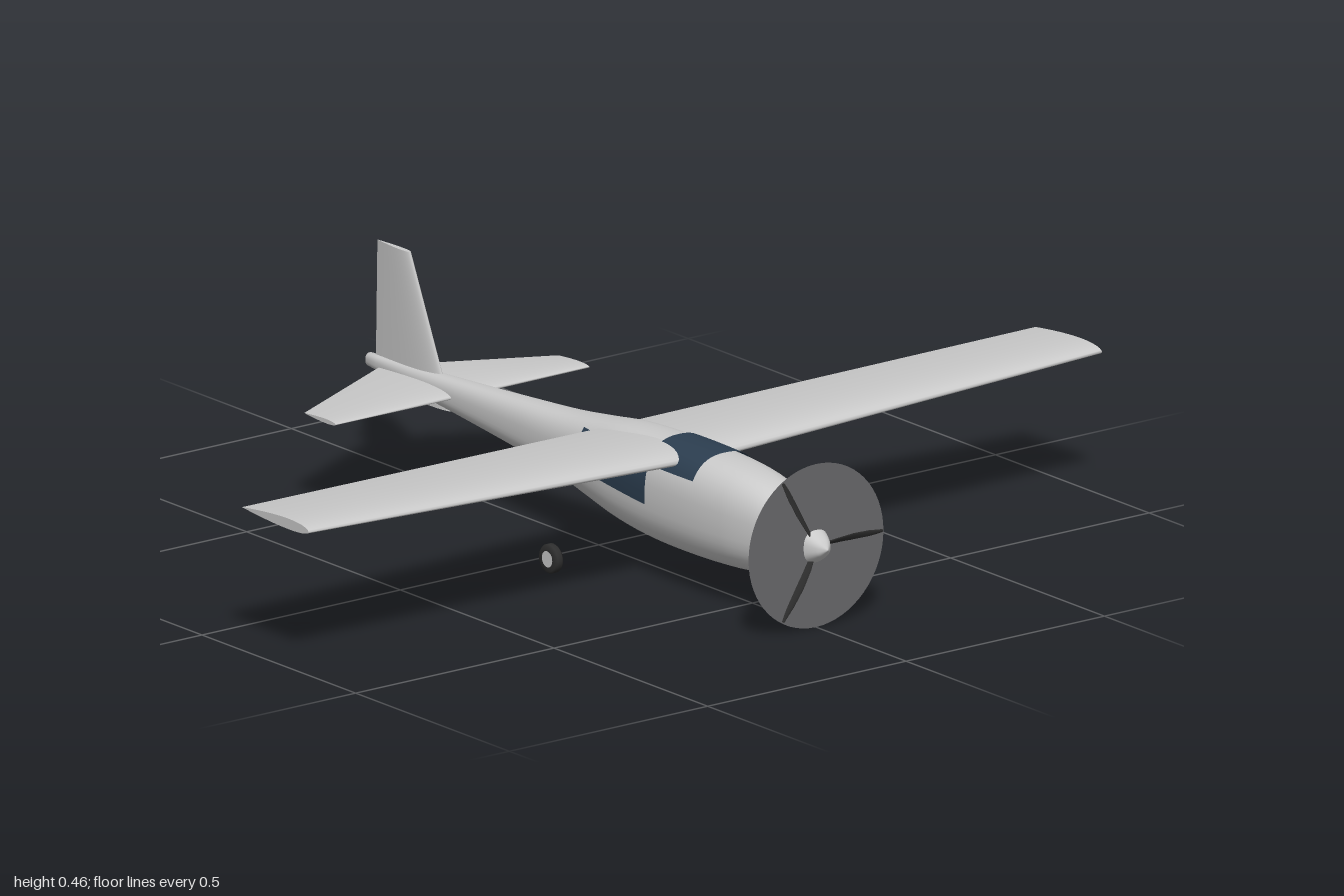
import * as THREE from 'three';
import { mergeVertices } from 'three/addons/utils/BufferGeometryUtils.js';

const mat = (name, color, double) => {
  const m = new THREE.MeshStandardMaterial({ color });
  m.name = name;
  if (double) m.side = THREE.DoubleSide;
  return m;
};

// Skin between cross-sections: each ring is a list of [x, y, z]
function loft(rings, caps = true) {
  const pos = [], idx = [], n = rings[0].length;
  rings.forEach(r => r.forEach(p => pos.push(...p)));
  for (let i = 0; i < rings.length - 1; i++) {
    for (let j = 0; j < n - 1; j++) {
      const a = i * n + j, b = a + 1, c = a + n, d = c + 1;
      idx.push(a, b, c, b, d, c);
    }
  }
  if (caps) {
    [rings[0], rings[rings.length - 1]].forEach((r, end) => {
      const base = pos.length / 3, mid = [0, 1, 2].map(k => r.reduce((s, p) => s + p[k], 0) / n);
      r.forEach(p => pos.push(...p));
      pos.push(...mid);
      for (let j = 0; j < n - 1; j++) {
        if (end) idx.push(base + j, base + j + 1, base + n);
        else idx.push(base + j + 1, base + j, base + n);
      }
    });
  }
  const g = new THREE.BufferGeometry();
  g.setAttribute('position', new THREE.Float32BufferAttribute(pos, 3));
  g.setIndex(idx);
  g.computeVertexNormals();
  return g;
}

// Aerofoil outline from trailing edge over one side and back: [z, height]
function aerofoil(le, te, thick, upper = 1, lower = 1) {
  const out = [], N = 16;
  for (let i = 0; i <= 2 * N; i++) {
    const c = 0.5 * (1 + Math.cos((Math.PI * i) / N));
    const h = 5 * thick * (0.2969 * Math.sqrt(c) - 0.126 * c - 0.3516 * c * c + 0.2843 * c ** 3 - 0.1036 * c ** 4);
    out.push([le + (te - le) * c, i <= N ? h * upper : -h * lower]);
  }
  return out;
}

// Fuselage stations: z, top, bottom, half width
const stations = [
  [-0.745, 0.221, 0.194, 0.011], [-0.6, 0.228, 0.179, 0.020], [-0.4, 0.239, 0.160, 0.031],
  [-0.2, 0.252, 0.139, 0.044], [-0.08, 0.261, 0.121, 0.054], [0.02, 0.273, 0.101, 0.066],
  [0.12, 0.286, 0.082, 0.078], [0.24, 0.291, 0.071, 0.086], [0.38, 0.290, 0.070, 0.089],
  [0.5, 0.283, 0.075, 0.084], [0.58, 0.268, 0.085, 0.072], [0.65, 0.238, 0.104, 0.053],
  [0.7, 0.207, 0.131, 0.034], [0.73, 0.187, 0.151, 0.019], [0.745, 0.171, 0.167, 0.002]
];
function station(z) {
  let i = 0;
  while (i < stations.length - 2 && z > stations[i + 1][0]) i++;
  const A = stations[i], B = stations[i + 1], h = B[0] - A[0], u = (z - A[0]) / h;
  const slope = (q, k) => {
    const p = stations[Math.max(0, q - 1)], r = stations[Math.min(stations.length - 1, q + 1)];
    return (r[k] - p[k]) / (r[0] - p[0]);
  };
  return [1, 2, 3].map(k =>
    A[k] * (1 - u) ** 2 * (1 + 2 * u) + h * slope(i, k) * u * (1 - u) ** 2 +
    B[k] * u * u * (3 - 2 * u) - h * slope(i + 1, k) * u * u * (1 - u));
}
const EXP = 2.5;
function skin(z, angle, lift = 0) {
  const [top, bottom, w] = station(z), h = (top - bottom) / 2;
  const f = v => Math.sign(v) * Math.abs(v) ** (2 / EXP);
  return [(w + lift) * f(Math.cos(angle)), (top + bottom) / 2 + (h + lift) * f(Math.sin(angle)), z];
}
// Parameter angle at which the right-hand skin reaches height y
function angleAt(z, y) {
  const [top, bottom] = station(z);
  const s = THREE.MathUtils.clamp((y - (top + bottom) / 2) / ((top - bottom) / 2), -1, 1);
  return Math.asin(Math.sign(s) * Math.abs(s) ** (EXP / 2));
}
// Glass plate following the fuselage skin between two angles
function glassPatch(z0, z1, from, to) {
  const rings = [];
  for (let i = 0; i <= 14; i++) {
    const z = z0 + ((z1 - z0) * i) / 14, a = from(z), b = to(z), ring = [];
    for (let j = 0; j <= 24; j++) ring.push(skin(z, a + ((b - a) * j) / 24, 0.003));
    rings.push(ring);
  }
  return loft(rings, false);
}

export function createModel() {
  const group = new THREE.Group();
  group.name = 'lightAircraft';
  const paint = mat('lightGreyPaint', 0xcacaca);
  const glass = mat('darkBlueGlass', 0x2c3e50, true);
  const black = mat('blackRubber', 0x2e2e2e);
  const blur = mat('greyPropellerDisc', 0x68686a, true);
  const add = (name, geo, m, parent = group) => {
    const mesh = new THREE.Mesh(geo, m);
    mesh.name = name;
    parent.add(mesh);
    return mesh;
  };

  // Fuselage with pointed nose
  const rings = [];
  for (let i = 0; i < stations.length - 1; i++) {
    for (let s = 0; s < 4; s++) {
      rings.push(THREE.MathUtils.lerp(stations[i][0], stations[i + 1][0], s / 4));
    }
  }
  rings.push(0.745);
  const body = loft(rings.map(z => Array.from({ length: 41 }, (_, j) => skin(z, (j % 40) * Math.PI / 20))), true);
  body.deleteAttribute('normal');
  const smoothBody = mergeVertices(body, 1e-5);
  smoothBody.computeVertexNormals();
  add('fuselage', smoothBody, paint);

  // Windscreen wrapping over the top, and a side window on each flank
  const screenLow = z => angleAt(z, 0.245);
  add('windscreen', glassPatch(0.26, 0.41, screenLow, z => Math.PI - screenLow(z)), glass);
  const low = z => angleAt(z, 0.181 - (z - 0.015) * 0.06), high = z => angleAt(z, 0.256);
  add('leftWindow', glassPatch(0.015, 0.265, low, high), glass);
  add('rightWindow', glassPatch(0.015, 0.265, z => Math.PI - high(z), z => Math.PI - low(z)), glass);

  // Main wing with slight dihedral
  const wingRing = x => {
    const t = Math.abs(x);
    return aerofoil(0.347, 0.055 + 0.075 * t, 0.038 - 0.016 * t, 1.15, 0.85).map(([z, h]) => [x, 0.264 + 0.034 * t + h, z]);
  };
  add('wing', loft([-1, -0.5, 0, 0.5, 1].map(wingRing)), paint);

  // Tailplane and fin
  const tailRing = x => {
    const t = Math.abs(x) / 0.32;
    return aerofoil(-0.443, -0.705 + 0.16 * t, 0.022 - 0.013 * t).map(([z, h]) => [x, 0.203 + h, z]);
  };
  add('tailplane', loft([-0.32, 0, 0.32].map(tailRing)), paint);
  const finRing = y => {
    const t = (y - 0.162) / 0.3;
    return aerofoil(-0.478 - 0.134 * t, -0.726 + 0.006 * t, 0.021 - 0.009 * t).map(([z, h]) => [-h, y, z]);
  };
  add('fin', loft([0.162, 0.31, 0.462].map(finRing)), paint);

  // Propeller: spinning disc and three twisted blades
  const propeller = new THREE.Group();
  propeller.name = 'propeller';
  propeller.position.set(0, 0.17, 0.707);
  group.add(propeller);
  add('propellerDisc', new THREE.CircleGeometry(0.17, 64), blur, propeller);
  const bladeRings = [[0.015, 0.006, 0.9], [0.05, 0.011, 0.75], [0.09, 0.012, 0.55], [0.13, 0.009, 0.4], [0.167, 0.003, 0.3]]
    .map(([r, chord, twist]) => Array.from({ length: 17 }, (_, j) => {
      const a = (j % 16) * Math.PI / 8, u = chord * Math.cos(a), v = 0.0025 * Math.sin(a);
      return [r, u * Math.cos(twist) - v * Math.sin(twist), u * Math.sin(twist) + v * Math.cos(twist)];
    }));
  const blade = loft(bladeRings);
  for (let i = 0; i < 3; i++) add('propellerBlade', blade, black, propeller).rotation.z = (i * Math.PI * 2) / 3;

  // Wheels: tyre with rounded shoulders and a pale hub
  const wheel = (name, x, y, z, r, w) => {
    const g = new THREE.Group();
    g.name = name;
    const prof = [[r * 0.55, -w], [r * 0.88, -w], [r, -w * 0.55], [r, w * 0.55], [r * 0.88, w], [r * 0.55, w]];
    const tyre = new THREE.LatheGeometry(prof.map(p => new THREE.Vector2(...p)), 32);
    add('tyre', tyre, black, g);
    add('hub', new THREE.CylinderGeometry(r * 0.56, r * 0.56, w * 2.04, 24), paint, g);
    g.rotation.z = Math.PI / 2;
    g.position.set(x, y, z);
    group.add(g);
  };
  wheel('noseWheel', 0, 0.036, 0.613, 0.026, 0.009);
  wheel('leftWheel', 0.213, 0.041, 0.12, 0.03, 0.01);
  wheel('rightWheel', -0.213, 0.041, 0.12, 0.03, 0.01);
  return group;
}
